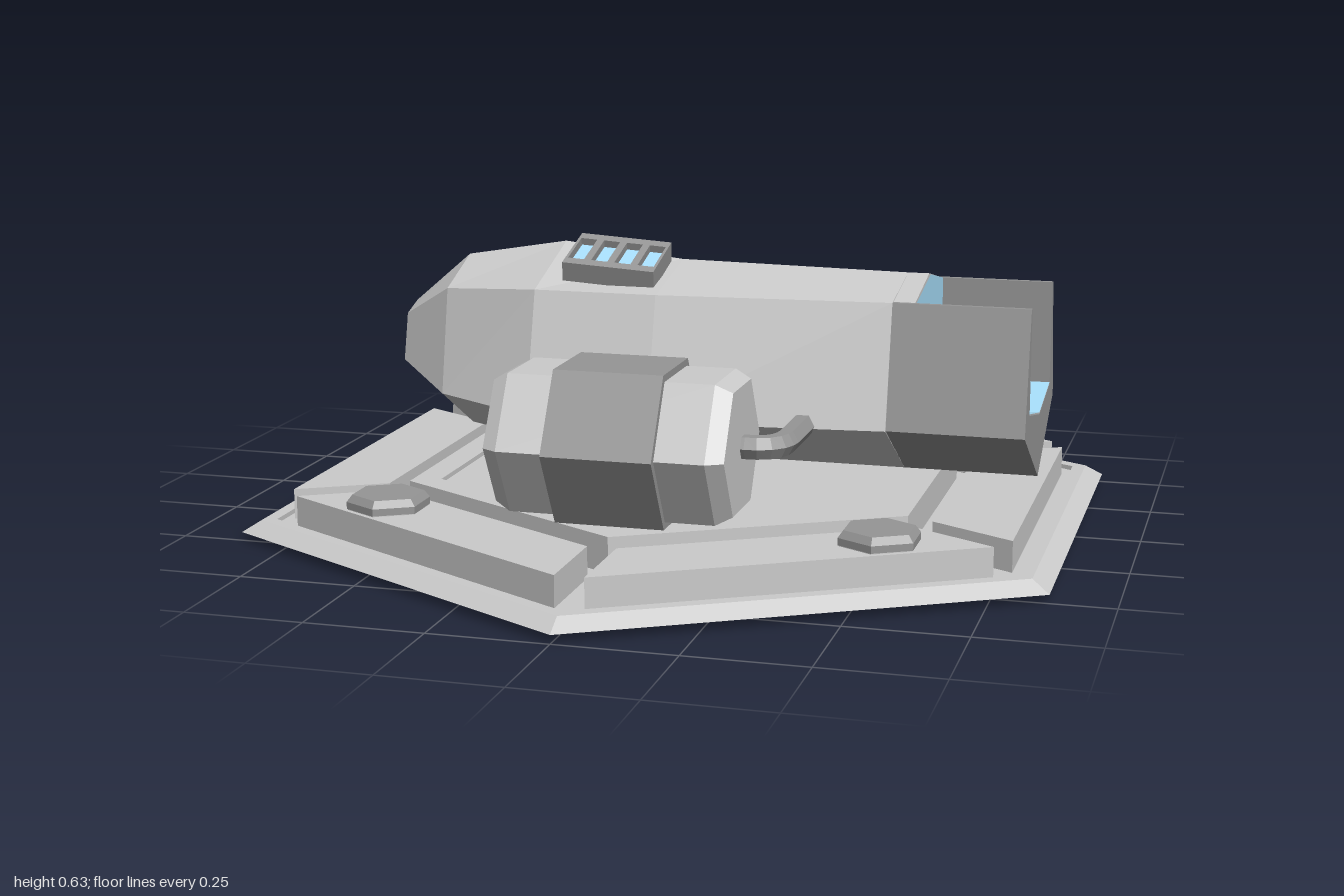
import * as THREE from 'three';

const SIXTH = Math.PI / 3;
const material = (color = 0xcccccc, side = THREE.FrontSide) =>
  new THREE.MeshStandardMaterial({ color, side, flatShading: true });
const grey = material();
const greyShell = material(0xcccccc, THREE.DoubleSide);
const dark = material(0x969696, THREE.DoubleSide);
const glass = material(0xa6dcf8, THREE.DoubleSide);

function add(parent, name, geometry, mat) {
  const mesh = new THREE.Mesh(geometry, mat);
  mesh.name = name;
  parent.add(mesh);
  return mesh;
}

// Skin a row of equal-length rings of [x, y, z] points, with optional end caps
function loft(rings, capStart, capEnd) {
  const n = rings[0].length, index = [];
  for (let i = 0; i < rings.length - 1; i++) {
    for (let j = 0; j < n; j++) {
      const a = i * n + j, b = i * n + (j + 1) % n;
      index.push(a, b, a + n, b, b + n, a + n);
    }
  }
  const last = (rings.length - 1) * n;
  for (let j = 1; j < n - 1; j++) {
    if (capStart) index.push(0, j + 1, j);
    if (capEnd) index.push(last, last + j, last + j + 1);
  }
  const g = new THREE.BufferGeometry();
  g.setAttribute('position', new THREE.Float32BufferAttribute(rings.flat(2), 3));
  g.setIndex(index);
  const flat = g.toNonIndexed();
  flat.computeVertexNormals();
  return flat;
}

const shapeOf = (pts) => new THREE.Shape(pts.map(([x, y]) => new THREE.Vector2(x, y)));
const hexagon = (r) => Array.from({ length: 6 }, (_, k) =>
  [r * Math.sin(k * SIXTH), r * Math.cos(k * SIXTH)]);
const lathe = (pts) => new THREE.LatheGeometry(pts.map(([r, y]) => new THREE.Vector2(r, y)), 6);
const turn = ([x, y], a) =>
  [x * Math.cos(a) - y * Math.sin(a), x * Math.sin(a) + y * Math.cos(a)];

function createBase() {
  const base = new THREE.Group();
  base.name = 'base';
  const floorY = 0.032;
  add(base, 'baseSkirt', lathe([[1, 0.018], [0.957, 0.042], [0.924, 0.042], [0.924, floorY]]), greyShell);
  // Steep-sided plateau with a raised rim around a shallow sunken middle
  add(base, 'centrePlateau',
    lathe([[0.635, floorY], [0.635, 0.108], [0.566, 0.108], [0.566, 0.098], [0, 0.098]]), greyShell);

  // Six hollow raised panels, one along each side of the hexagon
  const half = (a) => a * Math.tan(Math.PI / 6) - 0.035;
  const trapezoid = [[0.78, -half(0.78)], [0.78, half(0.78)], [0.6, half(0.6)], [0.6, -half(0.6)]];
  const floor = shapeOf(hexagon(0.924));
  floor.holes.push(shapeOf(hexagon(0.635)));
  for (let k = 0; k < 6; k++) {
    const outline = trapezoid.map((p) => turn(p, k * SIXTH));
    floor.holes.push(shapeOf(outline));
    const ring = (y) => outline.map(([x, z]) => [x, y, z]);
    add(base, 'raisedPanel', loft([ring(floorY), ring(0.098)], false, true), greyShell);
  }
  add(base, 'baseFloor',
    new THREE.ShapeGeometry(floor).rotateX(Math.PI / 2).translate(0, floorY, 0), greyShell);

  // Bolts through the diagonal panels, forming the feet below
  for (const x of [-0.525, 0.525]) {
    for (const z of [-0.5, 0.5]) {
      add(base, 'boltFoot', lathe([[0, 0], [0.086, 0], [0.086, 0.1]]), greyShell).position.set(x, 0, z);
      add(base, 'boltHead', lathe([[0.088, 0.1], [0.088, 0.115], [0.076, 0.13], [0, 0.13]]), dark)
        .position.set(x, 0, z);
    }
  }
  return base;
}

function createFuselage() {
  const ship = new THREE.Group();
  ship.name = 'fuselage';

  // Stations: x, ridge y, shoulder y, shoulder half width, chine y, chine half width, keel y
  const stations = [
    [-0.65, 0.45, 0.43, 0.06, 0.328, 0.085, 0.283],
    [-0.52, 0.562, 0.507, 0.145, 0.278, 0.19, 0.172],
    [-0.29, 0.601, 0.527, 0.222, 0.264, 0.29, 0.132],
    [-0.02, 0.571, 0.527, 0.22, 0.264, 0.29, 0.13],
    [0.484, 0.563, 0.527, 0.18, 0.264, 0.238, 0.13],
    // Stepped-in end that sits between the fins
    [0.484, 0.563, 0.527, 0.167, 0.3, 0.167, 0.268],
    [0.53, 0.563, 0.527, 0.167, 0.3, 0.167, 0.268],
  ];
  const rings = stations.map(([x, top, sy, sw, cy, cw, keel]) => [
    [x, top, 0], [x, sy, sw], [x, cy, cw], [x, keel, 0], [x, cy, -cw], [x, sy, -sw]]);
  add(ship, 'hull', loft(rings, true, true), grey);

  // Open end: two side fins joined by a V-shaped floor
  const right = [[0.234, 0.264], [0.18, 0.527], [0.168, 0.527], [0.168, 0.3]];
  const left = right.map(([x, y]) => [-x, y]).reverse();
  const cradle = new THREE.ExtrudeGeometry(
    shapeOf([[0, 0.13], ...right, [0, 0.267], ...left]), { depth: 0.291, bevelEnabled: false });
  add(ship, 'endFins', cradle.rotateY(Math.PI / 2).translate(0.484, 0, 0), dark);

  // Glass end pane and glass floor
  const pane = new THREE.ShapeGeometry(shapeOf(
    [[0, 0.27], [0.166, 0.302], [0.166, 0.527], [0, 0.561], [-0.166, 0.527], [-0.166, 0.302]]));
  add(ship, 'windowPane', pane.rotateY(Math.PI / 2).translate(0.533, 0, 0), glass);
  const strip = (x) => [[x, 0.303, 0.166], [x, 0.271, 0], [x, 0.303, -0.166], [x, 0.271, 0]];
  add(ship, 'glassFloor', loft([strip(0.533), strip(0.775)], false, false), glass);
  return ship;
}

// Slotted vent lying on one roof slope
function createVent() {
  const vent = new THREE.Group();
  vent.name = 'roofVent';
  const w = 0.102, d = 0.075;
  const frame = shapeOf([[-w, -d], [w, -d], [w, d], [-w, d]]);
  for (let i = 0; i < 4; i++) {
    const x = -0.078 + i * 0.052;
    frame.holes.push(shapeOf(
      [[x - 0.018, -0.05], [x + 0.018, -0.05], [x + 0.018, 0.05], [x - 0.018, 0.05]]));
  }
  add(vent, 'ventFrame', new THREE.ExtrudeGeometry(frame, { depth: 0.044, bevelEnabled: false })
    .rotateX(-Math.PI / 2).translate(0, -0.022, 0), dark);
  add(vent, 'ventGlass', new THREE.BoxGeometry(0.19, 0.012, 0.11), glass);
  vent.position.set(-0.137, 0.578, 0.112);
  vent.rotation.set(0.29, 0, -0.07);
  return vent;
}

// Hexagonal engine pod with a thicker band and a pipe to the hull
function createPod(side) {
  const pod = new THREE.Group();
  pod.name = side > 0 ? 'frontPod' : 'backPod';
  const y = 0.269, z = 0.472 * side;
  const prism = (pts) => lathe(pts).rotateZ(-Math.PI / 2).translate(0, y, z);
  add(pod, 'podBody', prism([[0, -0.268], [0.147, -0.268], [0.167, -0.235],
    [0.167, 0.2], [0.147, 0.235], [0, 0.235]]), greyShell);
  add(pod, 'podBand', prism([[0, -0.135], [0.184, -0.135], [0.184, 0.096], [0, 0.096]]), dark);

  const v = (x, dz) => new THREE.Vector3(x, y, dz * side);
  const path = new THREE.CurvePath();
  path.add(new THREE.LineCurve3(v(0.22, 0.465), v(0.25, 0.465)));
  path.add(new THREE.QuadraticBezierCurve3(v(0.25, 0.465), v(0.31, 0.465), v(0.31, 0.39)));
  path.add(new THREE.LineCurve3(v(0.31, 0.39), v(0.31, 0.22)));
  add(pod, 'pipe', new THREE.TubeGeometry(path, 14, 0.026, 6), dark);
  return pod;
}

export function createModel() {
  const model = new THREE.Group();
  model.name = 'shipOnPlatform';
  model.add(createBase(), createFuselage(), createVent(), createPod(1), createPod(-1));
  return model;
}
